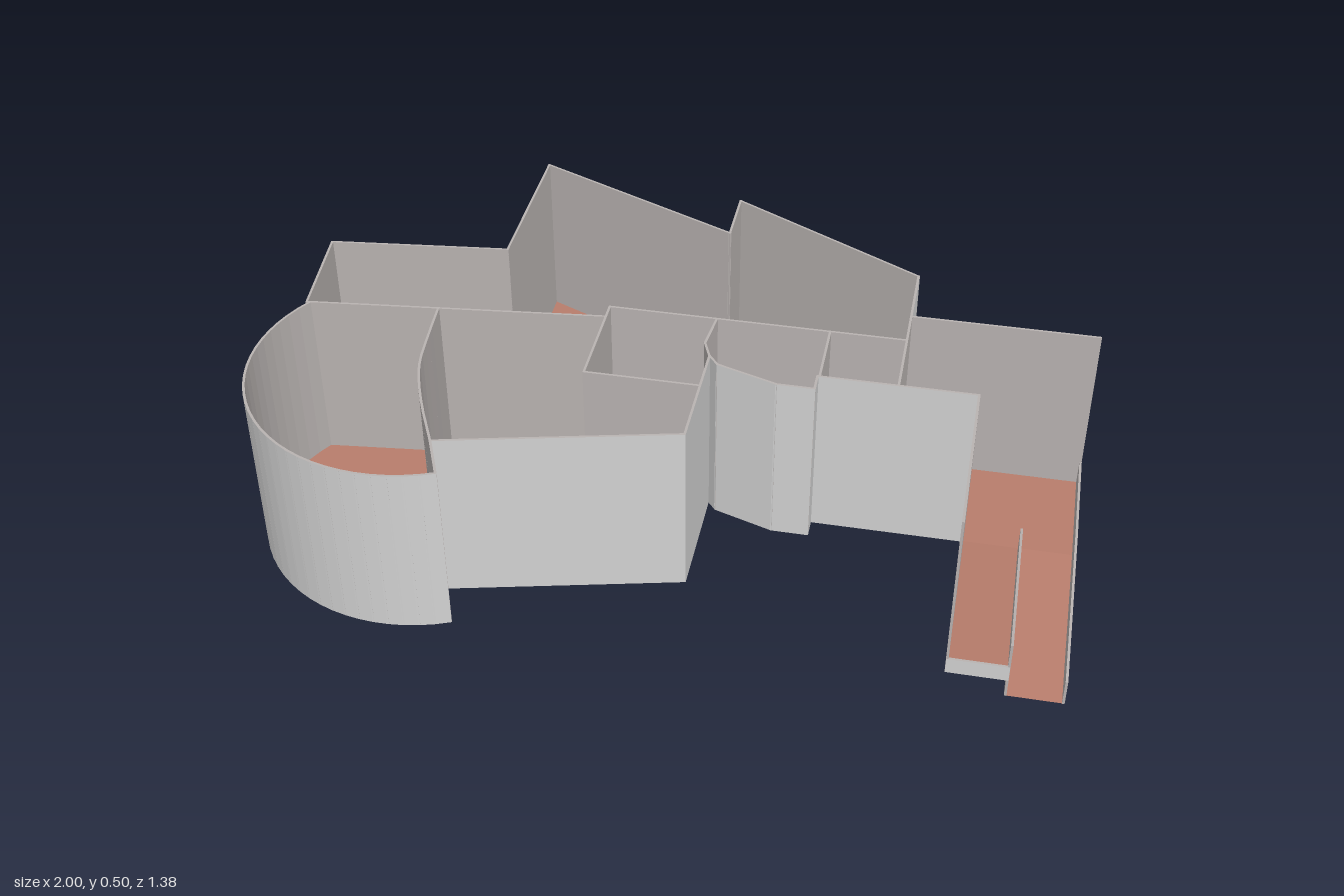
import * as THREE from 'three';

const BASE = 0.05, TOP = 0.505, THICK = 0.006;

const outerGrey = new THREE.MeshStandardMaterial({ color: 0xd2d2d2 });
outerGrey.name = 'outer wall grey';
const innerGrey = new THREE.MeshStandardMaterial({ color: 0xb9b3b1 });
innerGrey.name = 'inner wall grey';
const floorClay = new THREE.MeshStandardMaterial({ color: 0xb87d6c, side: THREE.DoubleSide });
floorClay.name = 'floor clay';

// Thin upright slab from a to b (plan x, z); the outside lies on its local +z side
function wall(name, a, b, exterior, y0 = BASE, y1 = TOP) {
  const dx = b[0] - a[0], dz = b[1] - a[1];
  const geo = new THREE.BoxGeometry(Math.hypot(dx, dz) + THICK * 0.8, y1 - y0, THICK);
  const i = innerGrey, o = exterior ? outerGrey : innerGrey;
  const mesh = new THREE.Mesh(geo, [i, i, i, i, o, i]);
  mesh.position.set((a[0] + b[0]) / 2, (y0 + y1) / 2, (a[1] + b[1]) / 2);
  mesh.rotation.y = -Math.atan2(dz, dx);
  mesh.name = name;
  return mesh;
}

function wallRun(name, pts, exterior) {
  const run = new THREE.Group();
  run.name = name;
  for (let k = 0; k < pts.length - 1; k++) run.add(wall(name + 'Panel', pts[k], pts[k + 1], exterior));
  return run;
}

function toShape(pts) {
  return new THREE.Shape(pts.map(([x, y]) => new THREE.Vector2(x, y)));
}

// Slab facing sideways at a given x, outlined in (z, y)
function sideSlab(name, x, outline) {
  const geo = new THREE.ExtrudeGeometry(toShape(outline), { depth: THICK, bevelEnabled: false });
  const mesh = new THREE.Mesh(geo, innerGrey);
  mesh.rotation.y = -Math.PI / 2;
  mesh.position.x = x + THICK / 2;
  mesh.name = name;
  return mesh;
}

function floor(name, pts) {
  const mesh = new THREE.Mesh(new THREE.ShapeGeometry(toShape(pts)), floorClay);
  mesh.rotation.x = Math.PI / 2;
  mesh.position.y = BASE - 0.0005;
  mesh.name = name;
  return mesh;
}

// Sloping floor strip between two depths
function ramp(name, x0, x1, z0, y0, z1, y1) {
  const geo = new THREE.BufferGeometry();
  geo.setAttribute('position', new THREE.Float32BufferAttribute(
    [x0, y0, z0, x0, y1, z1, x1, y1, z1, x1, y0, z0], 3));
  geo.setIndex([0, 1, 2, 0, 2, 3]);
  geo.computeVertexNormals();
  const mesh = new THREE.Mesh(geo, floorClay);
  mesh.name = name;
  return mesh;
}

export function createModel() {
  const model = new THREE.Group();
  model.name = 'floorPlanBuilding';

  // Round room outline
  const arc = [];
  for (let k = 0; k <= 28; k++) {
    const t = THREE.MathUtils.degToRad(212 - (146 * k) / 28);
    arc.push([-0.597 + 0.4 * Math.cos(t), 0.283 + 0.4 * Math.sin(t)]);
  }
  const front = [[-0.48, 0.54], [0.08, 0.406], [0.08, 0.1]];
  const bay = [[0.08, 0.1], [0.105, 0.13], [0.18, 0.155], [0.255, 0.18], [0.345, 0.18], [0.345, 0.13]];
  const back = [[0.997, -0.157], [0.537, -0.157], [0.537, -0.337], [0.033, -0.607], [0.033, -0.444],
    [-0.517, -0.69], [-0.517, -0.256], [-0.974, -0.203], [-0.944, 0.07]];

  // Outer walls
  model.add(wallRun('roundWall', arc, true));
  model.add(wallRun('frontWall', [arc[arc.length - 1], ...front], true));
  model.add(wallRun('bayWall', bay, true));
  model.add(wallRun('porchFrontWall', [[0.345, 0.13], [0.725, 0.13]], true));
  model.add(wallRun('rampTallWall', [[0.725, 0.13], [0.725, 0.585]], false));
  model.add(wallRun('backWall', back, true));

  // Inner partitions
  const curve = new THREE.CatmullRomCurve3([[-0.615, 0.035], [-0.605, 0.15], [-0.59, 0.27], [-0.545, 0.4], [-0.48, 0.54]]
    .map(([x, z]) => new THREE.Vector3(x, 0, z)));
  const partitions = {
    longPartition: [[-0.944, 0.07], [-0.2, -0.012]],
    curvedPartition: curve.getPoints(12).map((p) => [p.x, p.z]),
    closetPartition: [[0.08, 0.22], [-0.2, 0.22], [-0.2, -0.055]],
    hallPartition: [[-0.2, -0.055], [0.537, -0.055]],
    bayLeftPartition: [[0.07, -0.055], [0.06, 0.05], [0.08, 0.1]],
    bayRightPartition: [[0.35, -0.055], [0.35, 0.13]],
  };
  for (const [name, pts] of Object.entries(partitions)) model.add(wallRun(name, pts, false));

  // Entrance wall with two doorways either side of a pier
  model.add(sideSlab('entranceWall', 0.537, [[0.13, TOP], [-0.157, TOP], [-0.157, 0.235], [-0.05, 0.235],
    [-0.05, BASE], [0.04, BASE], [0.04, 0.235], [0.13, 0.235]]));

  // Low parapets along the porch and both ramps
  model.add(sideSlab('outerParapet', 0.997, [[-0.157, BASE], [0.13, BASE], [0.587, 0], [0.587, 0.07],
    [0.13, 0.115], [-0.157, 0.115]]));
  model.add(sideSlab('middleParapet', 0.865, [[0.13, BASE], [0.587, 0], [0.587, 0.16], [0.13, 0.115]]));
  model.add(wall('rampRiser', [0.725, 0.585], [0.865, 0.585], true, BASE, 0.092));

  // Floors
  model.add(floor('mainFloor', [...arc, ...front, [0.06, 0.04], [0.14, 0.048], [0.345, 0.04], [0.345, 0.13],
    [0.997, 0.13], ...back.slice(0, -1)]));
  model.add(floor('bayFloor', [[0.062, 0.05], [0.14, 0.057], [0.345, 0.049], [0.345, 0.18], [0.255, 0.18],
    [0.105, 0.13]]));
  model.add(ramp('risingRamp', 0.725, 0.865, 0.13, BASE, 0.585, 0.092));
  model.add(ramp('descendingRamp', 0.865, 0.997, 0.13, BASE, 0.587, 0.001));

  return model;
}
